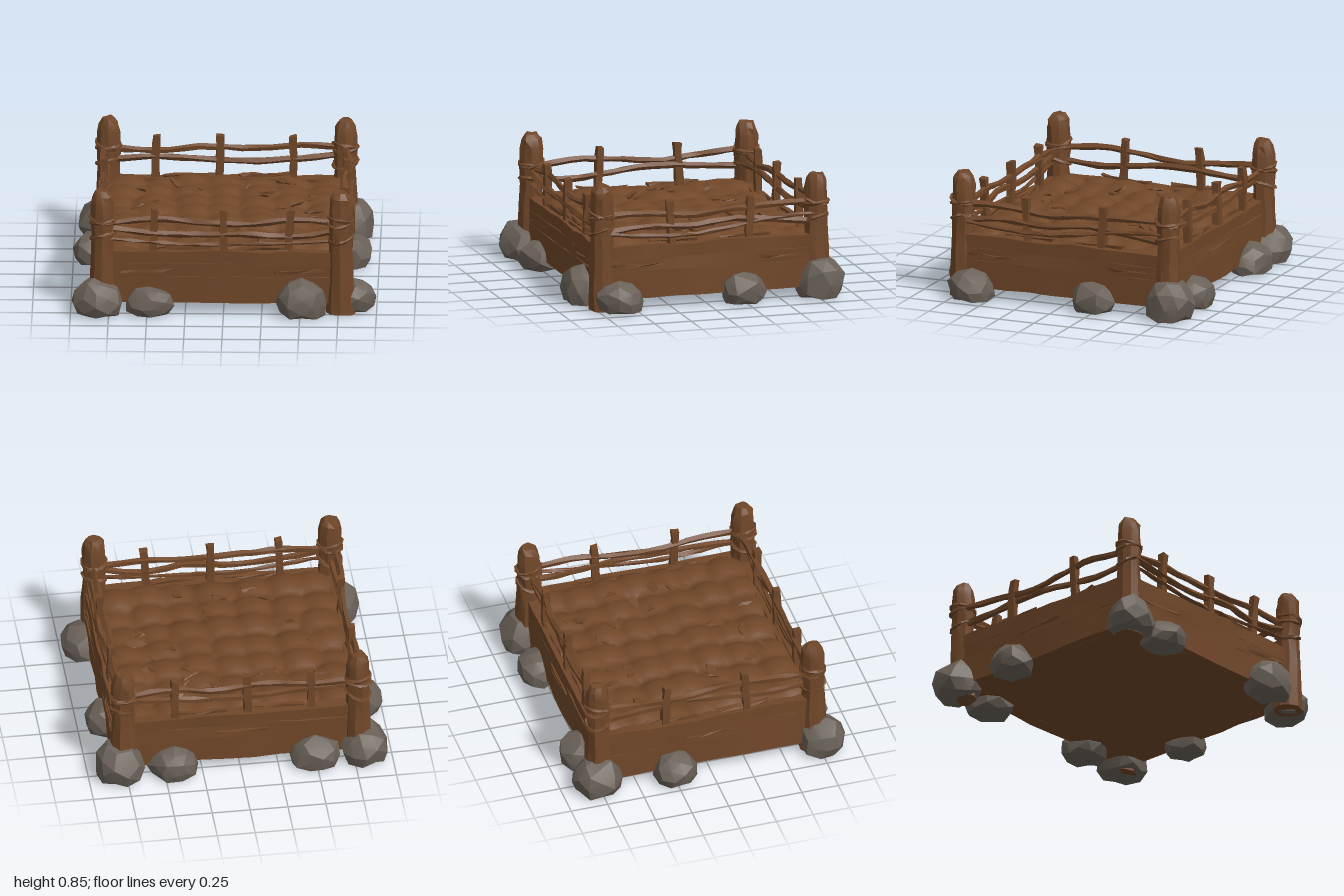
import * as THREE from 'three';
import { toCreasedNormals } from 'three/addons/utils/BufferGeometryUtils.js';

const material = (name, color) => {
  const m = new THREE.MeshStandardMaterial({ color });
  m.name = name;
  return m;
};

// Repeatable noise in -1..1 from a position, so shared corners move together
function noise(x, y, z, seed) {
  const r = v => Math.round(v * 500);
  const s = Math.sin(r(x) * 12.9898 + r(y) * 78.233 + r(z) * 37.719 + seed * 4.137) * 43758.5453;
  return (s - Math.floor(s)) * 2 - 1;
}

// Roughens a geometry, then keeps its hard edges sharp
function rough(geometry, ax, ay, az, seed, crease = 0.5) {
  const p = geometry.attributes.position;
  for (let i = 0; i < p.count; i++) {
    const x = p.getX(i), y = p.getY(i), z = p.getZ(i);
    p.setXYZ(i,
      x + ax * noise(x, y, z, seed),
      y + ay * noise(x, y, z, seed + 11),
      z + az * noise(x, y, z, seed + 23));
  }
  return toCreasedNormals(geometry, crease);
}

export function createModel() {
  const root = new THREE.Group();
  root.name = 'raisedGardenBed';
  const wood = material('brownWood', 0x704729);
  const stone = material('greyStone', 0x6a6158);
  const add = (name, geometry, mat, x = 0, y = 0, z = 0, parent = root) => {
    const mesh = new THREE.Mesh(geometry, mat);
    mesh.name = name;
    mesh.position.set(x, y, z);
    parent.add(mesh);
    return mesh;
  };

  // Solid base under the soil
  add('base', new THREE.BoxGeometry(1.58, 0.3, 1.44), wood, 0, 0.24, -0.01);

  // Lumpy soil made of overlapping rounded clods
  const clods = [];
  for (let i = 0; i < 7; i++) {
    for (let j = 0; j < 7; j++) {
      clods.push([
        -0.67 + i * 0.222 + 0.03 * noise(i, j, 1, 1),
        -0.62 + j * 0.2 + 0.03 * noise(i, j, 2, 2),
        0.475 + 0.018 * noise(i, j, 3, 3),
      ]);
    }
  }
  const soil = new THREE.PlaneGeometry(1.56, 1.4, 60, 54);
  soil.rotateX(-Math.PI / 2);
  const sp = soil.attributes.position;
  for (let i = 0; i < sp.count; i++) {
    let h = 0.41;
    for (const [x, z, top] of clods) {
      h = Math.max(h, top - 2.6 * ((sp.getX(i) - x) ** 2 + (sp.getZ(i) - z) ** 2));
    }
    sp.setY(i, h);
  }
  soil.computeVertexNormals();
  add('soil', soil, wood, 0, 0, -0.01);

  // Bark splinters poking out of the soil
  for (let i = 0; i < 26; i++) {
    const g = rough(new THREE.BoxGeometry(0.1, 0.012, 0.04, 2, 1, 1), 0.02, 0.006, 0.015, i);
    const chip = add('soilSplinter', g, wood,
      0.66 * noise(i, 4, 1, 5), 0.468, -0.01 + 0.58 * noise(i, 7, 2, 6));
    chip.rotation.set(0.3 * noise(i, 1, 1, 1), 3 * noise(i, 2, 2, 2), 0.35 * noise(i, 3, 3, 3));
  }

  // Sides: position, turn, length, stake offsets along the side, and rail heights
  const sides = [
    { name: 'front', x: 0, z: 0.71, turn: 0, len: 1.54, stakes: [-0.455, 0, 0.43],
      rails: [[0.62, 0.65, 0.63, 0.62, 0.65, 0.63], [0.6, 0.56, 0.55, 0.56, 0.54, 0.59], [0.53, 0.5, 0.48, 0.49, 0.5, 0.52]] },
    { name: 'back', x: 0, z: -0.735, turn: 0, len: 1.54, stakes: [-0.47, -0.05, 0.43],
      rails: [[0.63, 0.62, 0.65, 0.63, 0.66, 0.64], [0.56, 0.58, 0.56, 0.55, 0.57, 0.6]] },
    { name: 'left', x: 0.79, z: -0.01, turn: Math.PI / 2, len: 1.44, stakes: [-0.26, 0.28],
      rails: [[0.64, 0.64, 0.61, 0.63, 0.65, 0.65], [0.53, 0.56, 0.55, 0.57, 0.55, 0.52], [0.53, 0.5, 0.49, 0.52, 0.56, 0.58]] },
    { name: 'right', x: -0.8, z: -0.01, turn: Math.PI / 2, len: 1.44, stakes: [-0.26, 0.28],
      rails: [[0.62, 0.65, 0.64, 0.61, 0.63, 0.65], [0.55, 0.53, 0.56, 0.58, 0.56, 0.54]] },
  ];
  const planks = [[0.09, 0.27], [0.265, 0.355], [0.35, 0.44]];
  sides.forEach((side, s) => {
    const group = new THREE.Group();
    group.name = side.name + 'Side';
    group.position.set(side.x, 0, side.z);
    group.rotation.y = side.turn;
    root.add(group);

    // Stacked wall planks
    planks.forEach(([y0, y1], i) => {
      const g = new THREE.BoxGeometry(side.len, y1 - y0, 0.082 - i * 0.004, 9, 1, 1);
      add('wallPlank', rough(g, 0.01, i ? 0.009 : 0.004, 0.006, s * 7 + i), wood, 0, (y0 + y1) / 2, 0, group);
    });

    // Long splinters lying along the wall top and faces
    for (let i = 0; i < 5; i++) {
      const g = rough(new THREE.BoxGeometry(0.34, 0.016, 0.03, 4, 1, 1), 0.02, 0.007, 0.006, s * 13 + i);
      const strip = add('wallSplinter', g, wood, -0.5 + i * 0.25, i % 2 ? 0.455 : 0.31,
        i % 2 ? 0.02 * noise(i, s, 1, 2) : (i === 2 ? -0.032 : 0.032), group);
      strip.rotation.z = 0.06 * noise(i, s, 4, 1);
    }

    // Crooked branch rails
    side.rails.forEach((heights, r) => {
      const points = heights.map((y, i) => new THREE.Vector3(
        (i / 5 - 0.5) * side.len, y, 0.016 * noise(i, r, s, 3) + (r - 0.5) * 0.012));
      const g = new THREE.TubeGeometry(new THREE.CatmullRomCurve3(points), 16, [0.021, 0.022, 0.014][r], 5);
      add('rail', rough(g, 0.005, 0.005, 0.005, s * 5 + r), wood, 0, 0, 0, group);
    });

    // Short stakes holding the rails
    side.stakes.forEach((x, i) => {
      const g = new THREE.BoxGeometry(0.048, 0.3, 0.045, 1, 4, 1);
      const stake = add('stake', rough(g, 0.006, 0.008, 0.006, s * 3 + i), wood, x, 0.575, 0, group);
      stake.rotation.z = 0.06 * noise(i, s, 2, 9);
    });
  });

  // Corner posts with twig bindings: x, z, height
  const profile = [[0, 0], [0.102, 0], [0.096, 0.16], [0.086, 0.4], [0.077, 0.6], [0.083, 0.72],
    [0.08, 0.88], [0.073, 0.95], [0.045, 0.995], [0, 1]];
  const posts = [[-0.79, 0.715, 0.86], [0.765, 0.715, 0.855], [-0.78, -0.75, 0.84], [0.77, -0.75, 0.835]];
  posts.forEach(([x, z, top], i) => {
    const g = new THREE.LatheGeometry(
      profile.map(([r, t]) => new THREE.Vector2(r * 0.95, t * (top - 0.02))), 9);
    add('cornerPost', rough(g, 0.007, 0.007, 0.007, i), wood, x, 0.02, z);
    [[0.64, 0.12], [0.66, -0.18], [0.54, 0.25]].forEach(([y, tilt], k) => {
      const ring = new THREE.TorusGeometry(0.08, 0.012, 5, 12);
      ring.rotateX(Math.PI / 2);
      const twig = add('postBinding', rough(ring, 0.005, 0.005, 0.005, i + k * 4), wood, x, y, z);
      twig.rotation.set(tilt * (i % 2 ? 1 : -1), 0, tilt);
    });
  });

  // Boulders round the foot: x, z, half width, half depth, top
  const rocks = [
    [-0.83, 0.765, 0.165, 0.15, 0.275], [-0.485, 0.75, 0.16, 0.145, 0.21],
    [0.51, 0.76, 0.17, 0.15, 0.275], [0.85, 0.62, 0.145, 0.16, 0.215],
    [0.83, -0.24, 0.13, 0.15, 0.22], [0.795, -0.765, 0.165, 0.165, 0.29],
    [0.44, -0.78, 0.165, 0.145, 0.22], [-0.49, -0.78, 0.165, 0.145, 0.22],
    [-0.82, -0.765, 0.155, 0.165, 0.275], [-0.86, -0.245, 0.145, 0.15, 0.22],
  ];
  rocks.forEach(([x, z, w, d, top], i) => {
    const g = new THREE.IcosahedronGeometry(1, 1);
    g.rotateY(i * 1.3);
    g.deleteAttribute('uv');
    const p = g.attributes.position;
    const h = (top - 0.02) * 0.66;
    for (let k = 0; k < p.count; k++) {
      const px = p.getX(k), py = p.getY(k), pz = p.getZ(k);
      const s = 1 + 0.09 * noise(px, py, pz, i);
      p.setXYZ(k, px * s * w, Math.max(py * s * h, -h * 0.5), pz * s * d);
    }
    add('boulder', toCreasedNormals(g, 0.35), stone, x, 0.02 + h * 0.5, z);
  });

  return root;
}
